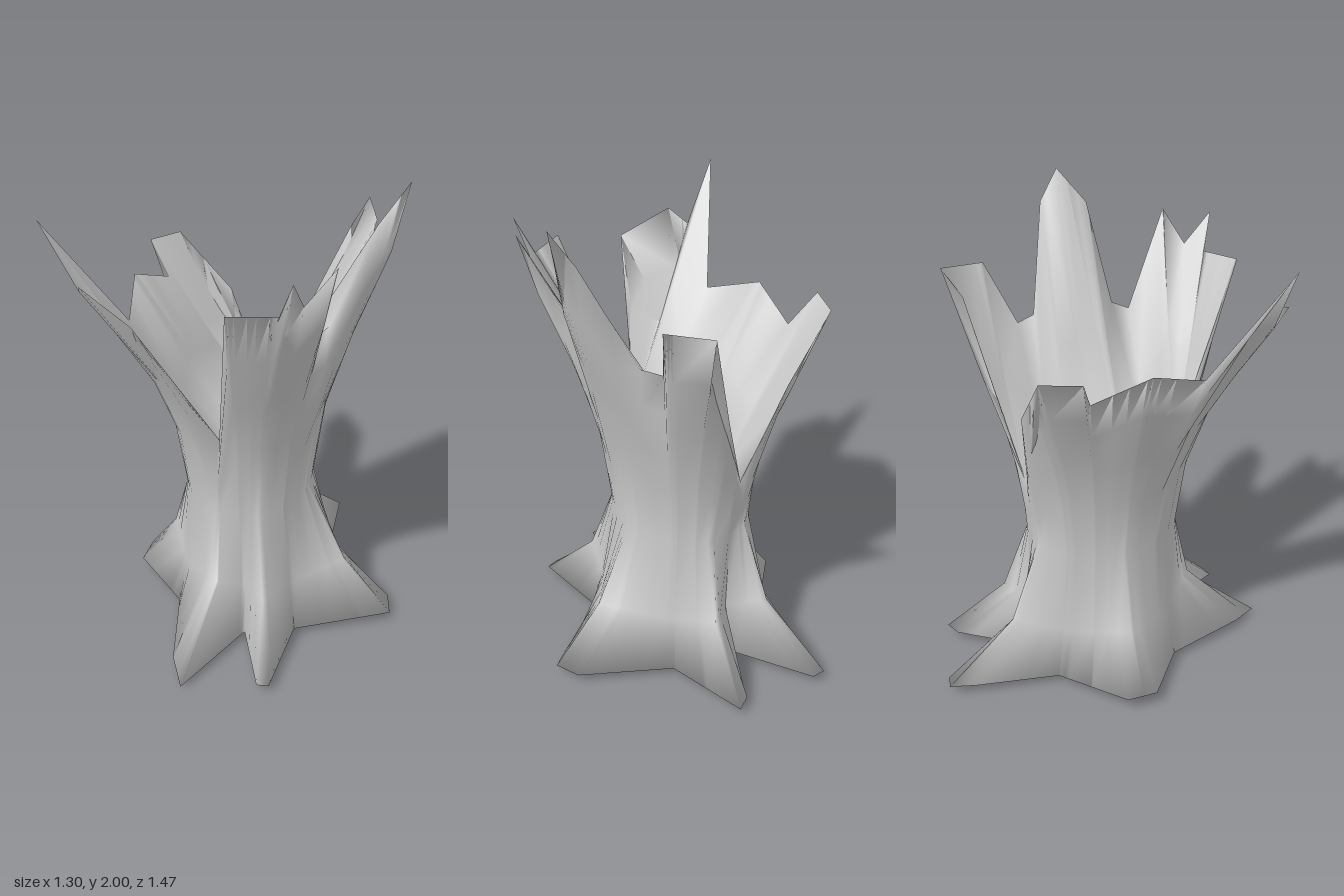
import * as THREE from 'three';
import { mergeVertices } from 'three/addons/utils/BufferGeometryUtils.js';

const TAU = Math.PI * 2;
const angleOf = (p) => (Math.atan2(p[2], p[0]) + TAU) % TAU;

// Control loops around the trunk, as [x, y, z] in order of angle from +x towards +z.
// Splintered upper edge
const rim = [
  [0.59, 2.0, 0.02], [0.5, 1.87, 0.12], [0.35, 1.47, 0.18], [0.31, 1.45, 0.24],
  [0.43, 1.83, 0.44], [0.33, 1.7, 0.5], [0.32, 1.83, 0.61], [0.26, 1.68, 0.56],
  [0.09, 1.69, 0.63], [-0.035, 0.97, 0.32], [-0.25, 1.6, 0.63],
  [-0.47, 1.69, 0.56], [-0.51, 1.63, 0.48], [-0.65, 1.89, 0.48], [-0.42, 1.42, 0.26],
  [-0.49, 1.5, 0.02], [-0.43, 1.4, -0.2], [-0.53, 1.53, -0.26], [-0.45, 1.52, -0.4],
  [-0.22, 1.28, -0.4], [-0.035, 0.87, -0.33], [0.28, 1.6, -0.48], [0.34, 1.71, -0.55],
  [0.41, 1.69, -0.36], [0.31, 1.45, -0.25], [0.35, 1.46, -0.17], [0.54, 1.88, -0.07],
];
// Six root tips with valleys between
const foot = [
  [0.65, 0.04, 0.07], [0.6, 0.04, 0.1], [0.27, 0.03, 0.28], [0.26, 0.04, 0.64],
  [0.21, 0.04, 0.65], [0.07, 0.03, 0.36], [-0.09, 0.02, 0.73], [-0.17, 0.04, 0.6],
  [-0.27, 0.03, 0.25], [-0.52, 0.06, 0.06], [-0.52, 0.06, -0.07], [-0.24, 0.03, -0.28],
  [-0.19, 0.04, -0.63], [-0.16, 0.04, -0.74], [-0.1, 0.04, -0.73], [0.03, 0.03, -0.38],
  [0.19, 0.04, -0.62], [0.26, 0.04, -0.65], [0.29, 0.03, -0.28], [0.62, 0.04, -0.04],
];
// Root ridges where they climb into the trunk
const ridge = [
  [0.43, 0.27, 0.04], [0.25, 0.25, 0.23], [0.17, 0.28, 0.4], [0.05, 0.25, 0.31],
  [-0.07, 0.31, 0.39], [-0.24, 0.25, 0.22], [-0.37, 0.28, 0], [-0.22, 0.25, -0.25],
  [-0.11, 0.28, -0.44], [0.02, 0.25, -0.32], [0.16, 0.28, -0.4], [0.25, 0.25, -0.23],
];

// Point where the ray at this angle crosses a control loop
function loopAt(loop, angle) {
  for (let i = 0; i < loop.length; i++) {
    const a = loop[i], b = loop[(i + 1) % loop.length];
    const span = (angleOf(b) - angleOf(a) + TAU) % TAU;
    const offset = (angle - angleOf(a) + TAU) % TAU;
    if (offset >= span) continue;
    const c = Math.cos(angle), s = Math.sin(angle);
    const t = -(c * a[2] - s * a[0]) / (c * (b[2] - a[2]) - s * (b[0] - a[0]));
    return a.map((v, k) => v + (b[k] - v) * t);
  }
  return loop[0];
}

// Smooth oval trunk that widens above the waist
const WAIST = 0.62;
function trunkAt(angle, y) {
  const h = Math.pow(y - WAIST, 1.6);
  const c = Math.cos(angle), s = Math.sin(angle);
  const r = 1 / Math.hypot(c / (0.265 + 0.19 * h), s / (0.325 + 0.21 * h));
  return [c * r - 0.01, y, s * r];
}

// Skin between closed rows of points, shaded smoothly across all rows
function loft(rows) {
  const n = rows[0].length, index = [];
  for (let r = 0; r + 1 < rows.length; r++) {
    for (let i = 0; i < n; i++) {
      const j = (i + 1) % n;
      const a = r * n + i, b = r * n + j, c = a + n, d = b + n;
      index.push(a, c, b, b, c, d);
    }
  }
  const geometry = new THREE.BufferGeometry();
  geometry.setAttribute('position', new THREE.Float32BufferAttribute(rows.flat(2), 3));
  geometry.setIndex(index);
  const welded = mergeVertices(geometry, 1e-4);
  welded.computeVertexNormals();
  return welded;
}

export function createModel() {
  const group = new THREE.Group();
  group.name = 'brokenStump';
  const wood = new THREE.MeshStandardMaterial({ color: 0xc6c6c6, side: THREE.DoubleSide });
  wood.name = 'grey wood';

  // Columns pass through every control point, plus a few even ones
  const even = Array.from({ length: 12 }, (_, i) => (i + 0.5) / 12 * TAU);
  const angles = [...[...rim, ...foot, ...ridge].map(angleOf), ...even]
    .sort((a, b) => a - b)
    .filter((a, i, all) => i === 0 || a - all[i - 1] > 1e-4);

  const top = angles.map((a) => loopAt(rim, a));
  const base = angles.map((a) => loopAt(foot, a));
  const flare = angles.map((a) => loopAt(ridge, a));

  // Bark follows the smooth trunk and only breaks into splinters near the top
  const barkRow = (t) => angles.map((a, i) => {
    const p = trunkAt(a, WAIST + (top[i][1] - WAIST) * t);
    return p.map((v, k) => v + (k === 1 ? 0 : (top[i][k] - v) * t ** 3));
  });

  // The hollow is a V-shaped split along z, both halves sharing its seam points
  const seam = top.map((p) => {
    const u = Math.round(THREE.MathUtils.clamp((p[2] + 0.33) / 0.65, 0, 1) * 6) / 6;
    return [-0.035, 0.87 + 0.1 * u - 0.15 * u * (1 - u), -0.33 + 0.65 * u];
  });
  const hollowRow = (t) => top.map((p, i) => {
    const q = seam[i], sag = 0.2 * t * (1 - t) * Math.hypot(p[0] - q[0], p[2] - q[2]);
    return p.map((v, k) => v + (q[k] - v) * t - (k === 1 ? sag : 0));
  });

  const parts = [
    ['underside', [angles.map(() => [-0.08, 0, 0.03]), base]],
    ['roots', [flare, barkRow(0)]],
    ['bark', [barkRow(0.3), barkRow(0.55), barkRow(0.8), top]],
    ['splitHollow', [hollowRow(0.5), seam]],
  ];
  const skin = loft(parts.flatMap(([, rows]) => rows));

  // Each part takes its own bands of the shared skin
  let start = 0;
  parts.forEach(([name, rows], i) => {
    const bands = i === 0 ? rows.length - 1 : rows.length;
    const end = start + bands * angles.length * 6;
    const geometry = new THREE.BufferGeometry();
    geometry.setAttribute('position', skin.getAttribute('position'));
    geometry.setAttribute('normal', skin.getAttribute('normal'));
    geometry.setIndex(Array.from(skin.index.array.slice(start, end)));
    const mesh = new THREE.Mesh(geometry, wood);
    mesh.name = name;
    group.add(mesh);
    start = end;
  });
  return group;
}
